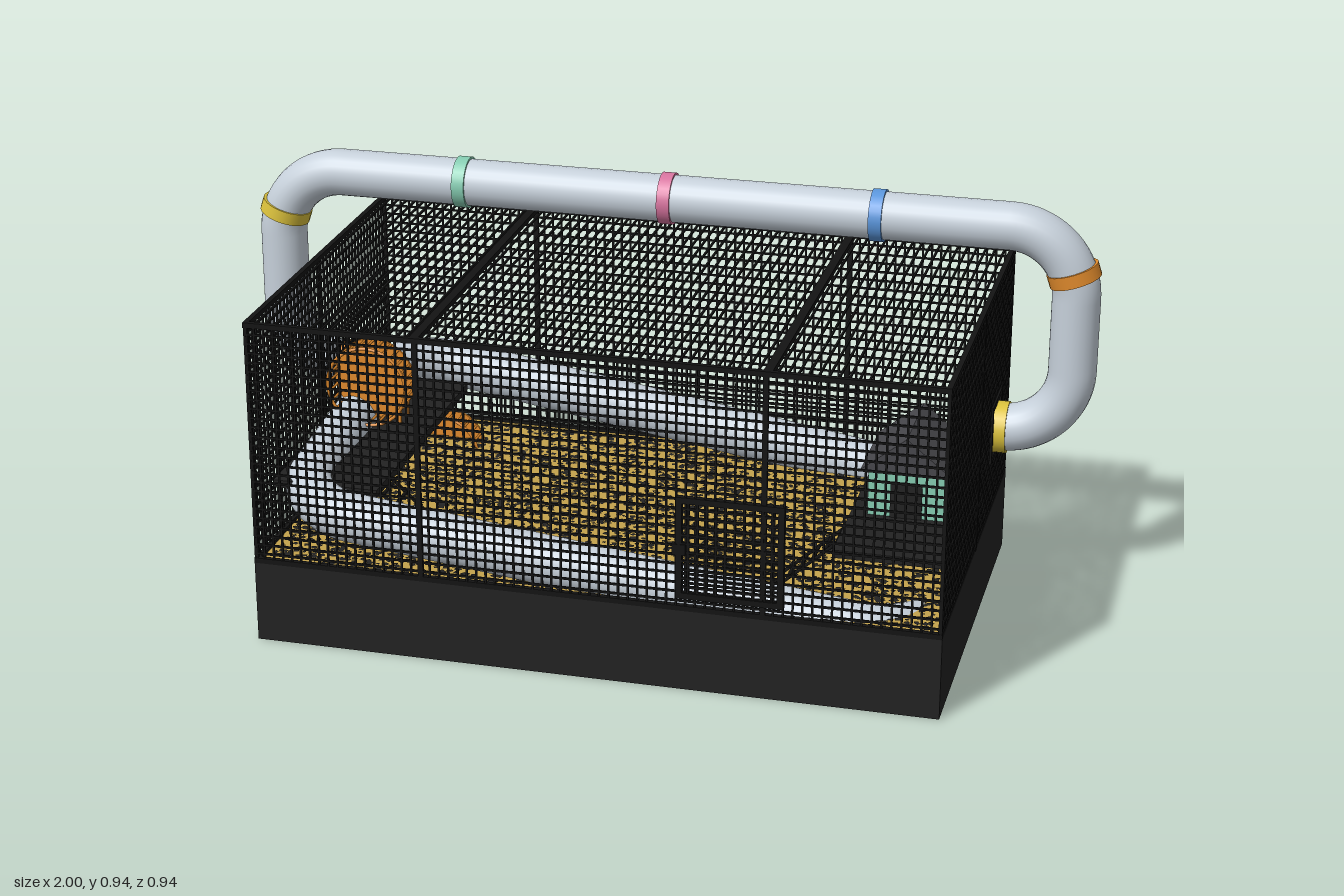
import * as THREE from 'three';
import { mergeGeometries } from 'three/addons/utils/BufferGeometryUtils.js';

const mat = (name, color, side = THREE.FrontSide) => {
  const m = new THREE.MeshStandardMaterial({ color, side });
  m.name = name;
  return m;
};
const V = (x, y, z) => new THREE.Vector3(x, y, z);

export function createModel() {
  const M = {
    tray: mat('tray black', 0x222222),
    wire: mat('wire black', 0x131313),
    tube: mat('pale grey', 0xc6d0da, THREE.DoubleSide),
    mint: mat('mint', 0x86cdb2),
    pink: mat('pink', 0xd8749f),
    blue: mat('blue', 0x5a96dc),
    yellow: mat('yellow', 0xdcc23c),
    orange: mat('orange', 0xe08a2c),
    bedding: mat('straw', 0xc4a24c),
    roof: mat('slate', 0x47474b),
  };
  const root = new THREE.Group();
  root.name = 'petCage';
  const add = (name, geo, m, parent = root) => {
    const mesh = new THREE.Mesh(geo, m);
    mesh.name = name;
    parent.add(mesh);
    return mesh;
  };
  const box = (w, h, d, x, y, z) => new THREE.BoxGeometry(w, h, d).translate(x, y, z);
  // round or square rod between two points
  const rod = (a, b, r, sides = 6) => {
    const d = b.clone().sub(a);
    const g = new THREE.CylinderGeometry(r, r, d.length(), sides);
    g.applyQuaternion(new THREE.Quaternion().setFromUnitVectors(V(0, 1, 0), d.normalize()));
    return g.translate((a.x + b.x) / 2, (a.y + b.y) / 2, (a.z + b.z) / 2);
  };

  const X = 0.772, Z = 0.462, Y0 = 0.19, Y1 = 0.755, H = Y1 - Y0, YM = (Y0 + Y1) / 2;

  // Tray and bedding
  add('tray', box(1.55, 0.19, 0.93, 0, 0.095, 0), M.tray);
  add('bedding', box(1.53, 0.004, 0.91, 0, 0.191, 0), M.bedding);
  let seed = 7;
  const rnd = () => (seed = (seed * 16807) % 2147483647) / 2147483647;
  const flakes = [];
  for (let i = 0; i < 5000; i++) {
    const s = 0.006 + rnd() * 0.008;
    flakes.push(new THREE.PlaneGeometry(s, s).rotateX(-Math.PI / 2).rotateY(rnd() * 3)
      .translate((rnd() - 0.5) * 1.5, 0.1945, (rnd() - 0.5) * 0.89));
  }
  add('beddingFlecks', mergeGeometries(flakes), M.tray);

  // Wire mesh walls and roof bars
  const T = 0.0045, wires = [];
  const nx = 72, ny = 26, nz = 43;
  for (let i = 0; i <= nx; i++) {
    const x = -X + (2 * X * i) / nx;
    for (const s of [-1, 1]) wires.push(box(T, H, T, x, YM, s * Z));
    wires.push(box(T, T, 2 * Z, x, Y1, 0));
  }
  for (let i = 0; i <= nz; i++) {
    const z = -Z + (2 * Z * i) / nz;
    for (const s of [-1, 1]) wires.push(box(T, H, T, s * X, YM, z));
  }
  for (let i = 0; i <= ny; i++) {
    const y = Y0 + (H * i) / ny;
    for (const s of [-1, 1]) {
      wires.push(box(2 * X, T, T, 0, y, s * Z));
      wires.push(box(T, T, 2 * Z, s * X, y, 0));
    }
  }
  add('wireMesh', mergeGeometries(wires), M.wire);

  // Frame rails and posts
  const frame = [], F = 0.012;
  for (const s of [-1, 1]) {
    for (const y of [Y0 + 0.005, Y1]) {
      frame.push(box(2 * X + 0.006, F, F, 0, y, s * (Z - 0.002)));
      frame.push(box(F, F, 2 * Z, s * (X - 0.003), y, 0));
    }
    for (const t of [-1, 1]) {
      frame.push(box(0.008, H, 0.008, s * (X - 0.002), YM, t * (Z - 0.002)));
      frame.push(box(F, H, 0.008, s * 0.385, YM, t * Z));
    }
    frame.push(box(0.02, F, 2 * Z, s * 0.388, Y1, 0));
    frame.push(box(0.008, H, F, s * X, YM, 0));
  }
  add('frame', mergeGeometries(frame), M.wire);

  // Front door with close bars and a latch
  const door = [];
  for (const s of [-1, 1]) {
    door.push(box(0.014, 0.235, 0.014, 0.312 + s * 0.112, 0.338, Z));
    door.push(box(0.238, 0.014, 0.014, 0.312, 0.338 + s * 0.112, Z));
  }
  for (let i = 1; i < 11; i++) {
    door.push(box(0.22, 0.005, 0.006, 0.312, 0.226 + i * 0.0204, Z + 0.002));
    door.push(box(0.005, 0.22, 0.006, 0.2 + i * 0.0204, 0.338, Z + 0.002));
  }
  door.push(box(0.03, 0.025, 0.012, 0.2, 0.335, Z + 0.002));
  add('door', mergeGeometries(door), M.wire);

  // Shelves and their ladders
  add('leftShelf', box(0.245, 0.018, 0.73, 0.645, 0.334, 0.04), M.tray);
  add('rightShelf', box(0.245, 0.018, 0.67, -0.645, 0.334, 0.015), M.tray);
  for (const s of [-1, 1]) {
    const parts = [], top = V(s * 0.53, 0.335, 0), foot = V(s * 0.37, 0.19, 0);
    for (const z of [0.245, 0.325]) parts.push(rod(top.clone().setZ(z), foot.clone().setZ(z), 0.004));
    for (let i = 0; i < 6; i++) {
      const p = foot.clone().lerp(top, (i + 0.5) / 6);
      parts.push(rod(p.clone().setZ(0.245), p.clone().setZ(0.325), 0.004));
    }
    add(s > 0 ? 'leftLadder' : 'rightLadder', mergeGeometries(parts), M.wire);
  }

  // Little house
  const house = new THREE.Group();
  house.name = 'house';
  root.add(house);
  add('houseWalls', box(0.17, 0.115, 0.195, 0.645, 0.4, 0.103), M.mint, house);
  const gable = new THREE.Shape([[-0.1, 0], [0.1, 0], [0, 0.08]].map(p => new THREE.Vector2(...p)));
  add('houseRoof', new THREE.ExtrudeGeometry(gable, { depth: 0.22, bevelEnabled: false })
    .translate(0.645, 0.455, -0.002), M.roof, house);
  add('houseDoorway', box(0.07, 0.08, 0.006, 0.645, 0.383, 0.202), M.tray, house);

  // Path through points with rounded corners
  const roundedPath = (pts, r) => {
    const path = new THREE.CurvePath();
    let from = pts[0];
    for (let i = 1; i < pts.length - 1; i++) {
      const p = pts[i];
      const a = p.clone().add(pts[i - 1].clone().sub(p).setLength(r));
      const b = p.clone().add(pts[i + 1].clone().sub(p).setLength(r));
      path.add(new THREE.LineCurve3(from, a));
      path.add(new THREE.CubicBezierCurve3(a, a.clone().lerp(p, 0.552), b.clone().lerp(p, 0.552), b));
      from = b;
    }
    path.add(new THREE.LineCurve3(from, pts[pts.length - 1]));
    return path;
  };

  // Outside tube arching over the cage
  const ZT = -0.235, YB = 0.4, YT = 0.885, XT = 0.944;
  const outer = roundedPath([V(-0.74, YB, ZT), V(-XT, YB, ZT), V(-XT, YT, ZT),
    V(XT, YT, ZT), V(XT, YB, ZT), V(0.74, YB, ZT)], 0.155);
  add('overheadTube', new THREE.TubeGeometry(outer, 220, 0.055, 24), M.tube);

  // Coloured joining rings
  const ring = (name, m, x, y, dir, w = 0.03) => {
    const d = dir.normalize().multiplyScalar(w / 2), c = V(x, y, ZT);
    add(name, rod(c.clone().sub(d), c.clone().add(d), 0.06, 28), m);
  };
  ring('mintRing', M.mint, -0.49, YT, V(1, 0, 0));
  ring('pinkRing', M.pink, 0, YT, V(1, 0, 0));
  ring('blueRing', M.blue, 0.49, YT, V(1, 0, 0));
  ring('upperYellowRing', M.yellow, -0.936, 0.783, V(0.32, 0.95, 0));
  ring('upperOrangeRing', M.orange, 0.936, 0.783, V(-0.32, 0.95, 0));
  ring('lowerOrangeRing', M.orange, -0.79, YB, V(1, 0, 0));
  ring('lowerYellowRing', M.yellow, 0.79, YB, V(1, 0, 0));
  for (const s of [-1, 1]) {
    const flange = [];
    for (const t of [-1, 1]) {
      flange.push(box(0.014, 0.135, 0.012, s * X, YB, ZT + t * 0.064));
      flange.push(box(0.014, 0.012, 0.135, s * X, YB + t * 0.064, ZT));
    }
    add(s > 0 ? 'leftTubeFlange' : 'rightTubeFlange', mergeGeometries(flange), M.wire);
  }

  // Inside tube spiralling down into the bedding
  const inner = roundedPath([V(0.71, 0.12, 0.05), V(0.71, 0.165, -0.395), V(-0.71, 0.385, -0.395),
    V(-0.71, 0.305, 0.39), V(0.71, 0.145, 0.39), V(0.71, 0.12, 0.1)], 0.15);
  add('burrowTube', new THREE.TubeGeometry(inner, 260, 0.056, 24), M.tube);

  // Exercise wheels: solid back, open rim, rungs between
  const wheel = (name, x, y, z, r, w) => {
    const g = new THREE.Group();
    g.name = name;
    g.position.set(x, y, z);
    root.add(g);
    add('wheelBack', rod(V(0, 0, -w / 2), V(0, 0, -w / 2 + 0.006), r, 32), M.orange, g);
    const rim = [new THREE.TorusGeometry(r - 0.003, 0.004, 6, 32).translate(0, 0, w / 2)];
    for (let i = 0; i < 28; i++) {
      const a = (i / 28) * Math.PI * 2, c = (r - 0.003) * Math.cos(a), s = (r - 0.003) * Math.sin(a);
      rim.push(rod(V(c, s, -w / 2), V(c, s, w / 2), 0.003));
    }
    add('wheelRungs', mergeGeometries(rim), M.orange, g);
  };
  wheel('upperWheel', -0.655, 0.455, -0.002, 0.098, 0.066);
  wheel('lowerWheel', -0.58, 0.17, -0.31, 0.097, 0.058);

  // Stand behind the upper wheel
  const stand = [];
  for (const x of [-0.65, -0.6]) {
    stand.push(box(0.008, 0.115, 0.008, x, 0.4, -0.096));
    stand.push(box(0.008, 0.115, 0.008, x, 0.4, -0.04));
    stand.push(box(0.008, 0.008, 0.064, x, 0.454, -0.068));
  }
  for (const z of [-0.096, -0.075, -0.055]) stand.push(box(0.058, 0.008, 0.008, -0.625, 0.454, z));
  add('wheelStand', mergeGeometries(stand), M.orange);

  return root;
}
